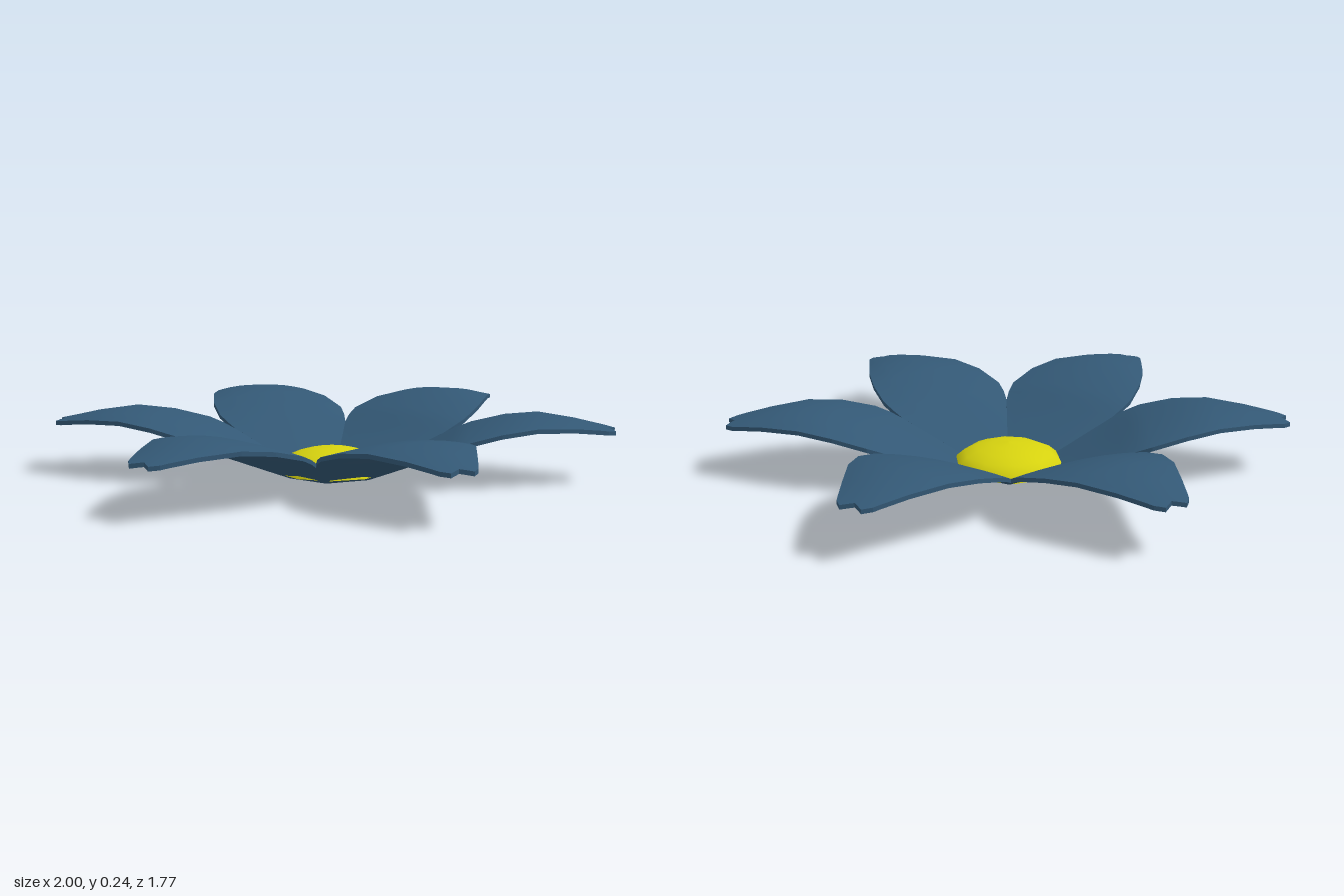
import * as THREE from 'three';

const THICK = 0.015;
// petal stations: [distance from centre, half width, edge height, crown height at the midline]
const STATIONS = [
  [0.14, 0.081, 0.015, 0],
  [0.22, 0.127, 0.05, 0.002],
  [0.31, 0.179, 0.09, 0.004],
  [0.39, 0.225, 0.125, 0.01],
  [0.435, 0.24, 0.145, 0.016],
  [0.49, 0.25, 0.165, 0.021],
  [0.61, 0.232, 0.195, 0.026],
  [0.73, 0.19, 0.21, 0.026],
  [0.86, 0.125, 0.203, 0.015],
  [0.95, 0.08, 0.192, 0.005],
  [0.975, 0.067, 0.188, 0.003],
];
const ACROSS = [-1, -0.8, -0.6, -0.3, 0, 0.3, 0.6, 0.8, 1];
const ROWS = STATIONS.length, COLS = ACROSS.length;

// point on the upper petal surface; the last row is scalloped into a notched tip
function petalPoint(i, j) {
  const [x, w, edge, crown] = STATIONS[i];
  const v = ACROSS[j], a = Math.abs(v);
  const tip = i === ROWS - 1 ? 0.025 * (a < 0.6 ? a / 0.6 : (1 - a) / 0.4) : 0;
  return [x + tip, edge + crown * (1 - v * v) - tip * 0.2, v * w];
}

function petalGeometry() {
  const pos = [], index = [];
  const add = (p, drop) => pos.push(p[0], p[1] - drop, p[2]) / 3 - 1;

  // upper and lower skins
  for (const drop of [0, THICK]) {
    const base = pos.length / 3;
    for (let i = 0; i < ROWS; i++)
      for (let j = 0; j < COLS; j++) add(petalPoint(i, j), drop);
    for (let i = 0; i < ROWS - 1; i++)
      for (let j = 0; j < COLS - 1; j++) {
        const a = base + i * COLS + j, b = a + COLS, c = a + 1, d = b + 1;
        if (drop) index.push(a, b, c, c, b, d);
        else index.push(a, c, b, c, d, b);
      }
  }

  // rim wall around the outline
  const loop = [];
  for (let i = 0; i < ROWS - 1; i++) loop.push([i, COLS - 1]);
  for (let j = COLS - 1; j > 0; j--) loop.push([ROWS - 1, j]);
  for (let i = ROWS - 1; i > 0; i--) loop.push([i, 0]);
  for (let j = 0; j < COLS - 1; j++) loop.push([0, j]);
  loop.forEach((p, k) => {
    const P = petalPoint(...p), Q = petalPoint(...loop[(k + 1) % loop.length]);
    const a = add(P, 0), b = add(P, THICK), c = add(Q, THICK), d = add(Q, 0);
    index.push(a, b, c, a, c, d);
  });

  const geo = new THREE.BufferGeometry();
  geo.setAttribute('position', new THREE.Float32BufferAttribute(pos, 3));
  geo.setIndex(index);
  geo.computeVertexNormals();
  return geo;
}

export function createModel() {
  const flower = new THREE.Group();
  flower.name = 'flower';

  // six petals around the centre
  const petals = new THREE.Group();
  petals.name = 'petals';
  const petalMat = new THREE.MeshStandardMaterial({ color: 0x335875 });
  const geo = petalGeometry();
  for (let k = 0; k < 6; k++) {
    const petal = new THREE.Mesh(geo, petalMat);
    petal.name = 'petal';
    petal.rotation.y = (k * Math.PI) / 3;
    petals.add(petal);
  }
  flower.add(petals);

  // ten-sided domed centre, open underneath
  const profile = [];
  for (let k = 0; k <= 5; k++) {
    const t = (k / 5) * Math.PI / 2;
    profile.push(new THREE.Vector2(k === 5 ? 0 : 0.2 * Math.cos(t), 0.016 + 0.088 * Math.sin(t)));
  }
  const dome = new THREE.Mesh(
    new THREE.LatheGeometry(profile, 10, Math.PI / 2),
    new THREE.MeshStandardMaterial({ color: 0xd6d20f, side: THREE.DoubleSide })
  );
  dome.name = 'flowerCentre';
  flower.add(dome);

  return flower;
}
